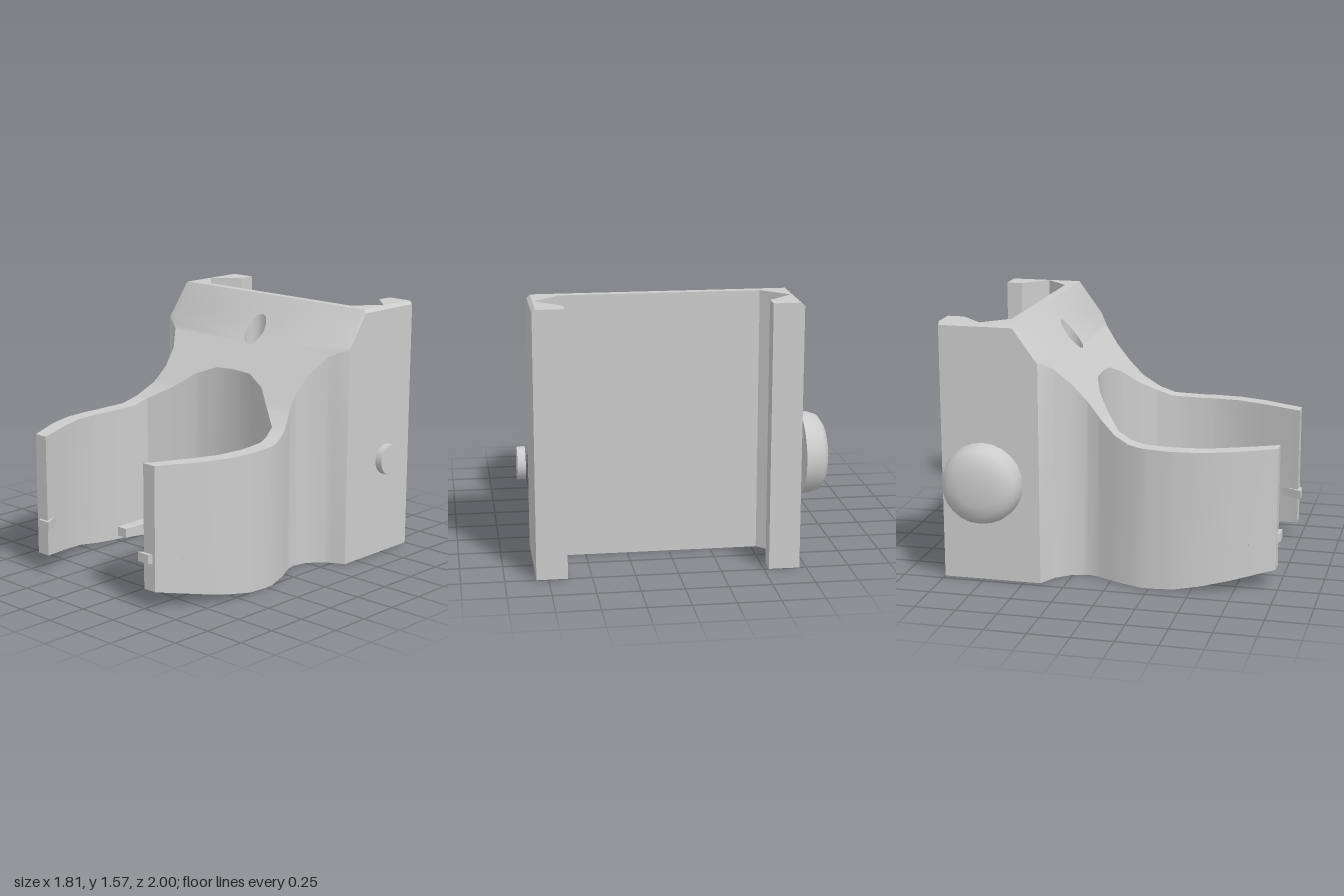
import * as THREE from 'three';
import { toCreasedNormals } from 'three/addons/utils/BufferGeometryUtils.js';

const CENTER_X = 0.055; // symmetry plane of the bracket
const mat = new THREE.MeshStandardMaterial({ color: 0xcccccc });

// Tables of [z, value] along the depth of the bracket, back to front.
const hole = Array.from({ length: 7 }, (_, i) => {
  const a = (i / 6) * Math.PI;
  return [-0.4 - 0.07 * Math.cos(a), i % 6 ? 0.07 * Math.sin(a) : 0];
});
const INNER = [
  [-1, 0.585], [-0.9, 0.585], [-0.755, 0.735], [-0.605, 0.585], // grooved rail
  [-0.605, 0], ...hole, // back plate with vertical hole
  [-0.205, 0], [-0.2, 0.14], [-0.15, 0.285], [-0.06, 0.415], [0.03, 0.535], // ring
  [0.2, 0.6], [0.39, 0.615], [0.56, 0.6], [0.73, 0.535], [0.98, 0.42],
];
const OUTER = [
  [-1, 0.765], [-0.4, 0.765], [-0.34, 0.652], [-0.25, 0.578], [-0.16, 0.557], [-0.09, 0.573],
  [0.04, 0.641], [0.2, 0.7], [0.39, 0.715], [0.56, 0.7], [0.73, 0.641], [0.98, 0.51],
];
const TOP = [
  [-1, 1.57], [-0.55, 1.57], [-0.4, 1.365], [-0.07, 0.99], [0.03, 0.91],
  [0.12, 0.87], [0.2, 0.86], [0.32, 0.855], [0.98, 0.855],
];
const BOTTOM = [[-1, 0], [0.25, 0], [0.4, 0.01], [0.98, 0.11]];
const CHAMFER = [[-1, 0.02], [-0.4, 0.02], [-0.34, 0], [0.98, 0]];

function sample(table, z) {
  for (let i = 1; i < table.length; i++) {
    const [z0, v0] = table[i - 1], [z1, v1] = table[i];
    if (z <= z1 && z1 > z0) return v0 + ((v1 - v0) * (z - z0)) / (z1 - z0);
  }
  return table[table.length - 1][1];
}

// Both mirrored halves of the bracket, lofted through cross-sections along z.
function bracketGeometry() {
  const known = new Set(INNER.map(p => p[0]));
  const extra = new Set([OUTER, TOP, BOTTOM, CHAMFER].flat().map(p => p[0]).filter(z => !known.has(z)));
  const stations = [...INNER, ...[...extra].map(z => [z, sample(INNER, z)])].sort((a, b) => a[0] - b[0]);
  const sections = stations.map(([z, xi]) => {
    const xo = sample(OUTER, z), t = sample(TOP, z), b = sample(BOTTOM, z), c = sample(CHAMFER, z);
    return [[xi, b], [xo, b], [xo, t - c], [xo - c, t], [xi, t]].map(([x, y]) => new THREE.Vector3(x, y, z));
  });

  const pos = [];
  const tri = (a, b, c) => {
    const area = b.clone().sub(a).cross(c.clone().sub(a)).length();
    if (area < 1e-8) return;
    for (const p of [a, b, c]) pos.push(CENTER_X + p.x, p.y, p.z);
    for (const p of [a, c, b]) pos.push(CENTER_X - p.x, p.y, p.z);
  };
  const n = 5;
  for (let s = 1; s < sections.length; s++) {
    const A = sections[s - 1], B = sections[s];
    for (let i = 0; i < n; i++) {
      const j = (i + 1) % n;
      if (i === n - 1 && A[0].x === 0 && B[0].x === 0) continue; // open at the symmetry plane
      tri(A[i], A[j], B[j]);
      tri(A[i], B[j], B[i]);
    }
  }
  const back = sections[0], front = sections[sections.length - 1];
  for (let i = 1; i < n - 1; i++) {
    tri(back[0], back[i + 1], back[i]);
    tri(front[0], front[i], front[i + 1]);
  }
  const g = new THREE.BufferGeometry();
  g.setAttribute('position', new THREE.Float32BufferAttribute(pos, 3));
  return toCreasedNormals(g, 0.55);
}

// Thin horizontal plate from a plan outline of [x, z] points.
function plate(points) {
  const shape = new THREE.Shape(points.map(([x, z]) => new THREE.Vector2(CENTER_X + x, z)));
  const g = new THREE.ExtrudeGeometry(shape, { depth: 0.055, bevelEnabled: false });
  return g.rotateX(Math.PI / 2).translate(0, 0.33, 0);
}

export function createModel() {
  const model = new THREE.Group();
  const add = (name, geometry) => {
    const mesh = new THREE.Mesh(geometry, mat);
    mesh.name = name;
    model.add(mesh);
    return mesh;
  };

  add('clipBracket', bracketGeometry());

  // Ledge inside the ring with a forward spring tongue
  const half = [
    [0.5, -0.1], [0.546, 0.04], [0.446, -0.027], [0.35, -0.04], [0.25, -0.01],
    [0.145, 0.065], [0.077, 0.16], [0.05, 0.24], [0.034, 0.76],
  ];
  const mirrored = half.map(([x, z]) => [-x, z]).reverse();
  add('tongueLedge', plate([[0.25, -0.25], ...half, ...mirrored, [-0.25, -0.25]]));

  // Small catches at the arm tips
  for (const side of [1, -1]) {
    const outline = [[0.39, 1], [0.475, 1], [0.592, 0.83], [0.515, 0.8]];
    add(side > 0 ? 'leftCatch' : 'rightCatch', plate(outline.map(([x, z]) => [side * x, z])));
  }

  // Domed knob on the right side
  const dome = [[0, 0], [0.243, 0], [0.24, 0.05], [0.222, 0.105], [0.175, 0.138], [0.11, 0.155], [0, 0.155]]
    .map(([r, h]) => new THREE.Vector2(r, h));
  const knob = toCreasedNormals(new THREE.LatheGeometry(dome, 24), 0.75);
  add('domedKnob', knob.rotateZ(Math.PI / 2)).position.set(-0.75, 0.62, -0.73);

  // Flat pin cap on the left side
  const cap = new THREE.CylinderGeometry(0.095, 0.095, 0.047, 32).rotateZ(Math.PI / 2);
  add('pinCap', cap).position.set(0.88, 0.62, -0.725);

  return model;
}
